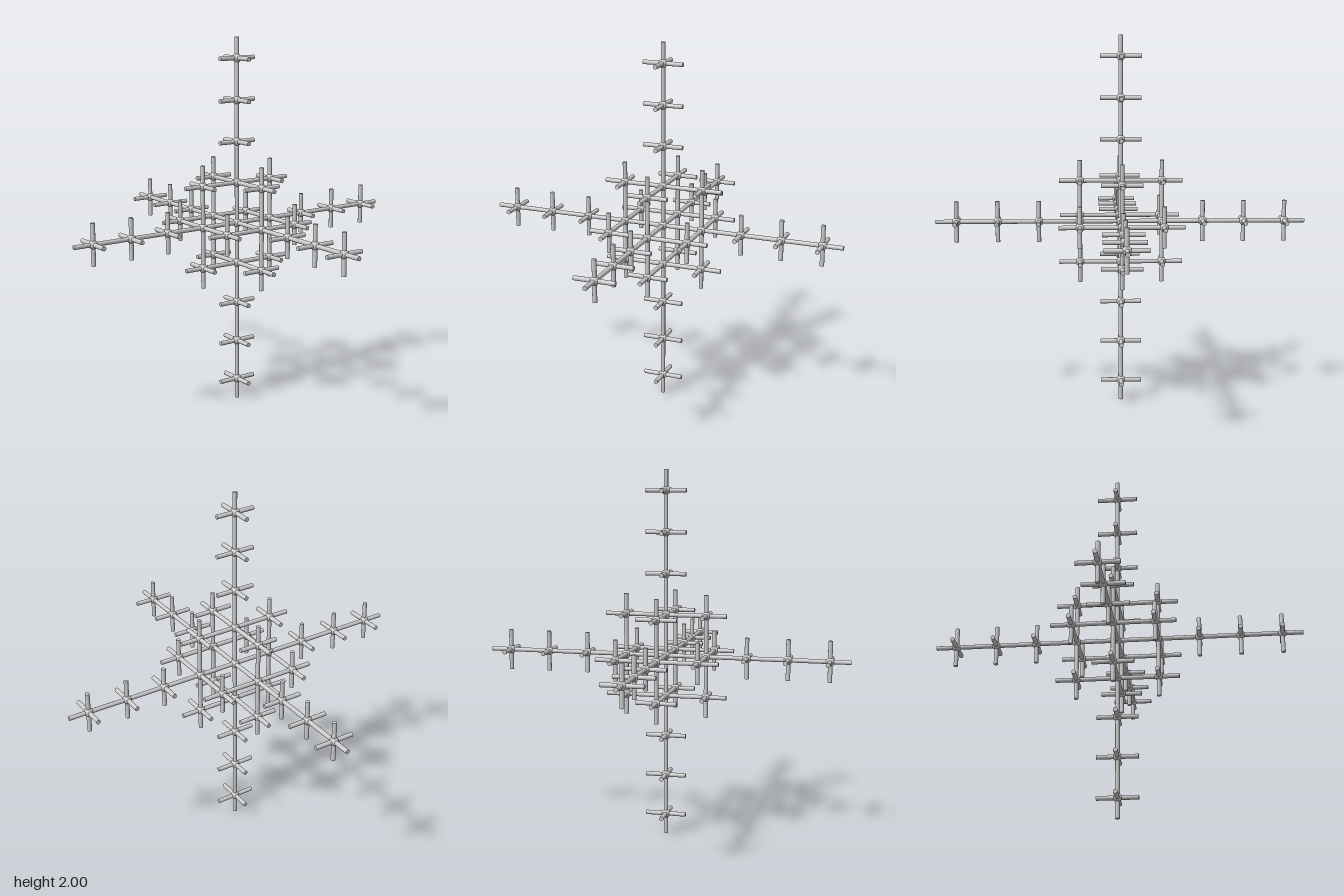
import * as THREE from 'three';

const PITCH = 2 / 9; // spacing of the lattice nodes
const ROD_RADIUS = 0.012;
const BALL_RADIUS = 0.024;

export function createModel() {
  const model = new THREE.Group();
  model.name = 'crossLattice';
  const material = new THREE.MeshStandardMaterial({ color: 0xcccccc });

  // Rods along y, x and z, shared by every node
  const rodY = new THREE.CylinderGeometry(ROD_RADIUS, ROD_RADIUS, PITCH, 16);
  const rods = {
    rodX: rodY.clone().rotateZ(Math.PI / 2),
    rodY,
    rodZ: rodY.clone().rotateX(Math.PI / 2),
  };
  const ball = new THREE.SphereGeometry(BALL_RADIUS, 20, 14);

  // One node: a ball with three crossing rods
  function addNode(i, j, k) {
    const node = new THREE.Group();
    node.name = 'crossNode';
    node.position.set(i * PITCH, 1 + j * PITCH, k * PITCH);
    const addPart = (name, geometry) => {
      const mesh = new THREE.Mesh(geometry, material);
      mesh.name = name;
      node.add(mesh);
    };
    addPart('ball', ball);
    for (const [name, geometry] of Object.entries(rods)) addPart(name, geometry);
    model.add(node);
  }

  // Six long arms on the axes, and twelve nodes on the diagonals of the core
  for (let i = -4; i <= 4; i++)
    for (let j = -4; j <= 4; j++)
      for (let k = -4; k <= 4; k++) {
        const offAxis = [i, j, k].filter((n) => n !== 0);
        const onArm = offAxis.length <= 1;
        const onDiagonal = offAxis.length === 2 && offAxis.every((n) => Math.abs(n) === 1);
        if (onArm || onDiagonal) addNode(i, j, k);
      }

  return model;
}
